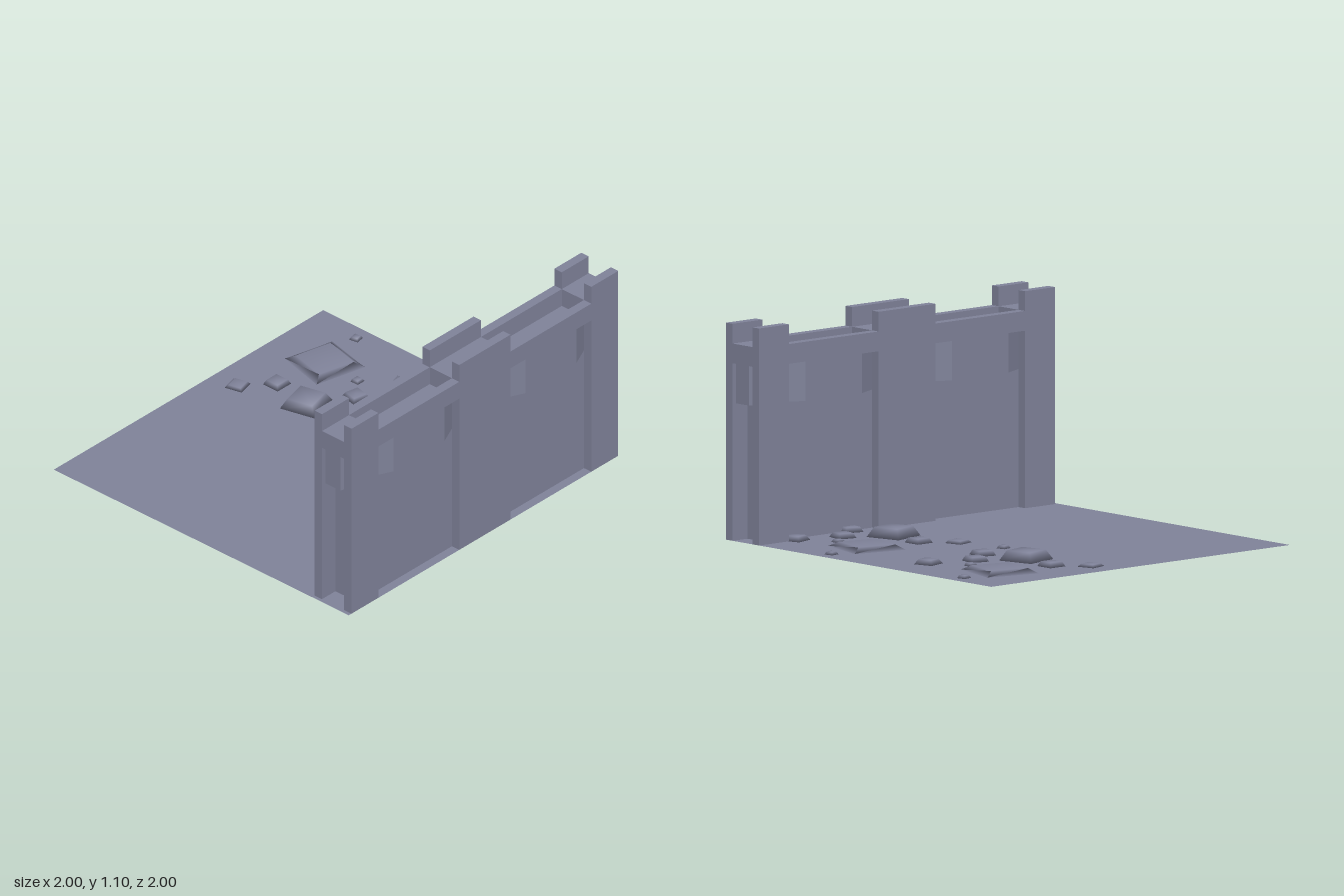
import * as THREE from 'three';
import { mergeVertices } from 'three/addons/utils/BufferGeometryUtils.js';

const stone = new THREE.MeshStandardMaterial({ color: 0x7f8299, side: THREE.DoubleSide });
stone.name = 'slate stone';

const X0 = 0.75, X1 = 1, RAIL = 0.05; // wall faces and rail thickness
const XI = X0 + RAIL, XO = X1 - RAIL; // inner core faces

function add(group, name, geometry) {
  const mesh = new THREE.Mesh(geometry, stone);
  mesh.name = name;
  group.add(mesh);
  return mesh;
}

// Box given by its limits
function block(group, name, x0, x1, y0, y1, z0, z1) {
  add(group, name, new THREE.BoxGeometry(x1 - x0, y1 - y0, z1 - z0))
    .position.set((x0 + x1) / 2, (y0 + y1) / 2, (z0 + z1) / 2);
}

// Upright prism over a plan outline of [x, z] points
function prism(group, name, plan, y0, y1) {
  const shape = new THREE.Shape(plan.map(([x, z]) => new THREE.Vector2(x, -z)));
  const geometry = new THREE.ExtrudeGeometry(shape, { depth: y1 - y0, bevelEnabled: false });
  geometry.rotateX(-Math.PI / 2);
  add(group, name, geometry).position.y = y0;
}

// Tapered block with softly shaded sides
function rock(group, x, z, size, height, angle, taper) {
  const r = size / Math.SQRT2;
  let geometry = new THREE.CylinderGeometry(r * taper, r, height, 4, 1);
  geometry.rotateY(Math.PI / 4);
  geometry.deleteAttribute('normal');
  geometry.deleteAttribute('uv');
  geometry = mergeVertices(geometry);
  geometry.computeVertexNormals();
  const mesh = add(group, 'rock', geometry);
  mesh.position.set(x, height / 2, z);
  mesh.rotation.y = THREE.MathUtils.degToRad(angle);
}

export function createModel() {
  const model = new THREE.Group();
  model.name = 'battlementWall';

  // Ground sheet
  const ground = new THREE.PlaneGeometry(2, 2);
  ground.rotateX(-Math.PI / 2);
  add(model, 'ground', ground);

  const wall = new THREE.Group();
  wall.name = 'wall';
  model.add(wall);

  // Merlons in pairs on the pillars
  for (const [z0, z1] of [[-1, -0.8], [-0.2, 0.18], [0.78, 0.98]]) {
    block(wall, 'merlon', X0, XI, 1, 1.1, z0, z1);
    block(wall, 'merlon', XO, X1, 1, 1.1, z0, z1);
  }

  // Middle pillar
  block(wall, 'middlePillar', X0, X1, 0, 1, -0.2, 0.18);

  // End pillars: recessed end face between posts, bulge under the cap
  for (const [inner, end] of [[0.78, 0.98], [-0.8, -1]]) {
    const back = end - Math.sign(end) * 0.1;
    const span = (a, b) => [Math.min(a, b), Math.max(a, b)];
    block(wall, 'endPillar', X0, X1, 0, 0.9, ...span(inner, back));
    block(wall, 'endPost', X0, XI, 0, 0.9, ...span(back, end));
    block(wall, 'endPost', XO, X1, 0, 0.9, ...span(back, end));
    block(wall, 'endCap', X0, X1, 0.9, 1, ...span(inner, end));
    prism(wall, 'endBulge', [[XI, back], [XI + 0.025, end], [XO - 0.025, end], [XO, back]], 0.7, 0.9);
  }

  // Bays: thin core, top rails and a bulging band on each face
  for (const [z0, z1] of [[0.18, 0.78], [-0.8, -0.2]]) {
    block(wall, 'bayCore', XI, XO, 0, 0.9, z0, z1);
    block(wall, 'bayRail', X0, XI, 0.9, 1, z0, z1);
    block(wall, 'bayRail', XO, X1, 0.9, 1, z0, z1);
    for (const [core, face] of [[XI, X0], [XO, X1]]) {
      prism(wall, 'bayBand', [[core, z0], [face, z0 + 0.11], [face, z1 - 0.11], [core, z1]], 0.7, 0.9);
    }
  }

  // Two matching scatters of rocks: x, z, size, height, angle, taper
  const rocks = [
    [-0.70, -0.915, 0.05, 0.015, 10, 0.7],
    [-0.665, -0.645, 0.29, 0.025, -14, 0.72],
    [-0.245, -0.75, 0.105, 0.025, 17, 0.7],
    [-0.43, -0.63, 0.05, 0.015, 0, 0.7],
    [-0.335, -0.515, 0.10, 0.025, -12, 0.75],
    [-0.475, -0.30, 0.195, 0.05, 14, 0.72],
    [-0.71, -0.34, 0.10, 0.025, 0, 0.75],
    [-0.215, -0.36, 0.10, 0.025, -14, 0.75],
    [-0.845, -0.195, 0.095, 0.015, 14, 0.75],
    [-0.125, -0.14, 0.05, 0.015, 10, 0.7],
  ];
  for (const shift of [0, 1]) {
    const scatter = new THREE.Group();
    scatter.name = 'rocks';
    for (const [x, ...rest] of rocks) {
      if (x + shift < 0.8) rock(scatter, x + shift, ...rest);
    }
    model.add(scatter);
  }
  return model;
}
